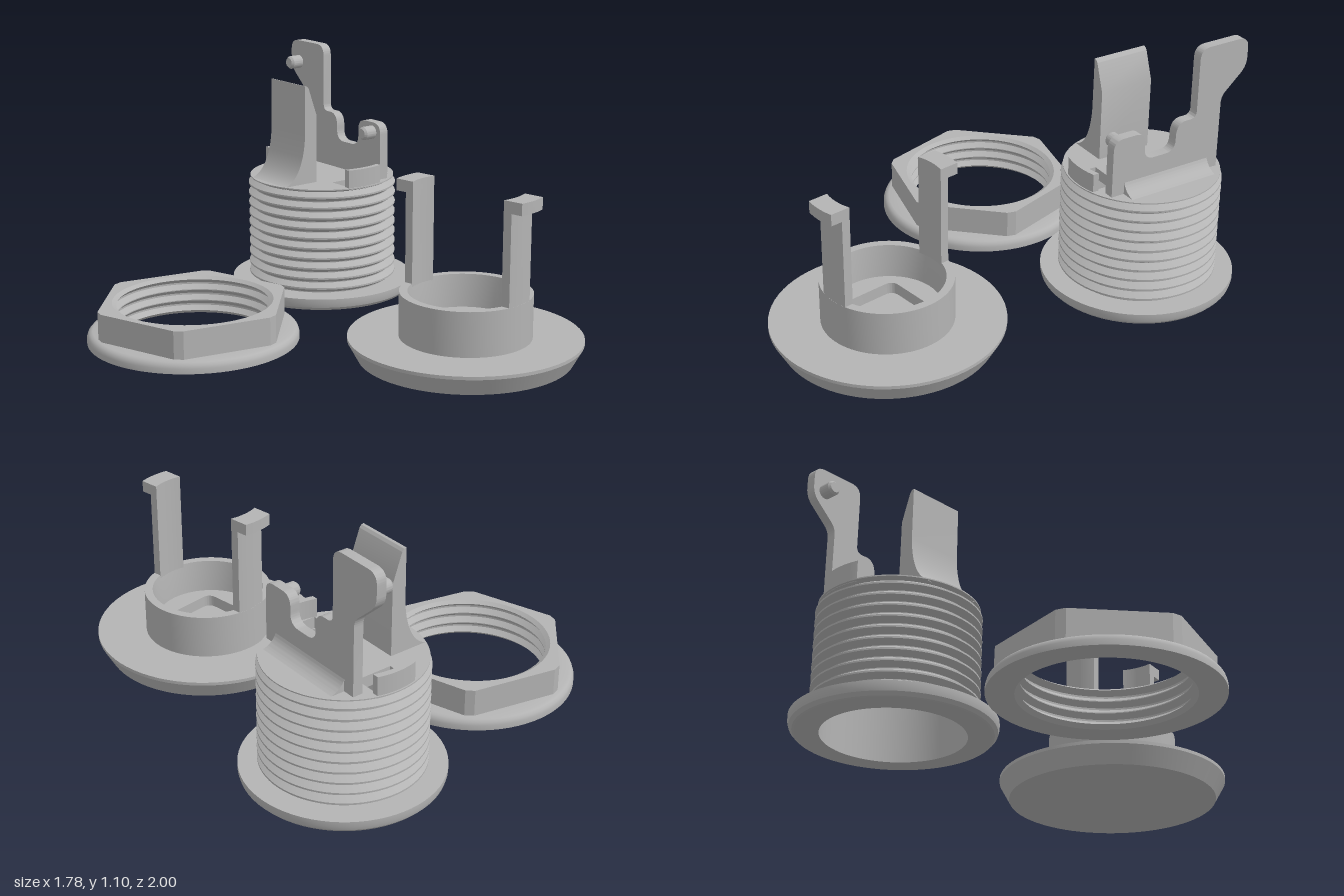
import * as THREE from 'three';
import { toCreasedNormals } from 'three/addons/utils/BufferGeometryUtils.js';

const grey = new THREE.MeshStandardMaterial({ color: 0xb3b3b3 });
grey.name = 'grey plastic';

function add(group, name, geometry) {
  const mesh = new THREE.Mesh(toCreasedNormals(geometry, 0.45), grey);
  mesh.name = name;
  group.add(mesh);
  return mesh;
}

const lathe = (profile) =>
  new THREE.LatheGeometry(profile.map(([r, y]) => new THREE.Vector2(r, y)), 72);

const extrude = (shape, depth) =>
  new THREE.ExtrudeGeometry(shape, { depth, bevelEnabled: false, curveSegments: 24 });

// Plan shape raised from y0 to y1
const raise = (shape, y0, y1) => extrude(shape, y1 - y0).rotateX(-Math.PI / 2).translate(0, y0, 0);

function circle(r, Kind = THREE.Shape) {
  const c = new Kind();
  c.absarc(0, 0, r, 0, Math.PI * 2, false);
  return c;
}

// Closed outline from corners [x, y, radius]
function rounded(corners, Kind = THREE.Shape) {
  const path = new Kind();
  const n = corners.length;
  corners.forEach(([x, y, r = 0], i) => {
    const p = new THREE.Vector2(x, y);
    const toward = (c) => {
      const d = new THREE.Vector2(c[0], c[1]).sub(p);
      return d.setLength(Math.min(r, d.length() / 2)).add(p);
    };
    const a = toward(corners[(i + n - 1) % n]);
    const b = toward(corners[(i + 1) % n]);
    if (i === 0) path.moveTo(a.x, a.y);
    else path.lineTo(a.x, a.y);
    if (r > 0) path.quadraticCurveTo(x, y, b.x, b.y);
  });
  path.closePath();
  return path;
}

// Slice of a ring wall, cut at x = +-half, on the -z side
function ringSlice(rIn, rOut, half, y0, y1) {
  const a = Math.acos(half / rOut), b = Math.acos(half / rIn);
  const s = new THREE.Shape();
  s.absarc(0, 0, rOut, a, Math.PI - a, false);
  s.absarc(0, 0, rIn, Math.PI - b, b, true);
  s.closePath();
  return raise(s, y0, y1);
}

// Zigzag thread profile, from y0 to y1
function thread(y0, y1, turns, root, crest) {
  const pts = [];
  const p = (y1 - y0) / turns;
  for (let i = 0; i < turns; i++) {
    const y = y0 + i * p;
    pts.push([root, y + 0.08 * p], [crest, y + 0.46 * p], [crest, y + 0.62 * p], [root, y + p]);
  }
  return pts;
}

function makeCap() {
  const cap = new THREE.Group();
  cap.name = 'cap';
  add(cap, 'capFlangeAndCollar', lathe([
    [0, 0], [0.445, 0], [0.487, 0.076], [0.487, 0.09], [0.275, 0.09], [0.275, 0.28],
    [0.24, 0.28], [0.222, 0.14], [0.222, 0.09], [0, 0.09],
  ]));
  // Floor with a rounded square recess
  const floor = circle(0.223);
  const h = 0.13;
  floor.holes.push(rounded([[-h, -h, 0.04], [-h, h, 0.04], [h, h, 0.04], [h, -h, 0.04]], THREE.Path));
  add(cap, 'capFloor', raise(floor, 0.085, 0.14));
  // Two snap arms with outward hooks
  for (const turn of [0, Math.PI]) {
    add(cap, 'snapArm', ringSlice(0.238, 0.274, 0.07, 0.2, 0.67)).rotation.y = turn;
    add(cap, 'snapHook', ringSlice(0.238, 0.322, 0.07, 0.665, 0.715)).rotation.y = turn;
  }
  cap.position.set(0.132, 0, 0.51);
  return cap;
}

function makeNut() {
  const nut = new THREE.Group();
  nut.name = 'nut';
  const bore = thread(0.012, 0.158, 3, 0.322, 0.344).reverse();
  add(nut, 'nutFlangeAndBore', lathe([
    [0.34, 0], [0.449, 0], [0.449, 0.022], [0.445, 0.035], [0.436, 0.045], [0.424, 0.05],
    [0.346, 0.05], [0.346, 0.17], [0.34, 0.17], ...bore, [0.34, 0],
  ]));
  // Hexagon with clipped corners
  const pts = [];
  for (let i = 0; i < 6; i++) {
    for (const d of [-27.2, 27.2]) {
      const a = THREE.MathUtils.degToRad(8 + 60 * i + d);
      pts.push(new THREE.Vector2(0.416 * Math.cos(a), 0.416 * Math.sin(a)));
    }
  }
  const hex = new THREE.Shape(pts);
  hex.holes.push(circle(0.345, THREE.Path));
  add(nut, 'nutHexagon', raise(hex, 0.04, 0.17));
  nut.position.set(-0.44, 0, -0.5);
  return nut;
}

function makeSocket() {
  const socket = new THREE.Group();
  socket.name = 'socket';
  add(socket, 'threadedBarrel', lathe([
    [0.29, 0], [0.375, 0], [0.395, 0.006], [0.408, 0.02], [0.413, 0.038], [0.413, 0.06], [0.308, 0.06],
    ...thread(0.06, 0.525, 10, 0.308, 0.336), [0.328, 0.535], [0.328, 0.54],
    [0.3, 0.54], [0.3, 0.49], [0.29, 0.49], [0.29, 0],
  ]));
  // Top disc with two slots
  const disc = circle(0.301);
  for (const s of [-1, 1]) {
    disc.holes.push(rounded([[-0.08, s * 0.178], [-0.08, s * 0.286], [0.08, s * 0.286], [0.08, s * 0.178]], THREE.Path));
  }
  add(socket, 'topDisc', raise(disc, 0.49, 0.54));
  for (const turn of [0, Math.PI]) {
    add(socket, 'slotLip', ringSlice(0.297, 0.322, 0.09, 0.53, 0.62)).rotation.y = turn;
  }

  // Tall stepped blade
  const blade = rounded([
    [-0.27, 0.53], [0.262, 0.53], [0.262, 0.86, 0.03], [0.384, 0.97, 0.04], [0.384, 1.1, 0.05],
    [0.14, 1.1, 0.05], [0.14, 0.795, 0.03], [0.04, 0.795, 0.07], [0.04, 0.67, 0.05],
    [-0.115, 0.67, 0.05], [-0.115, 0.795, 0.05], [-0.27, 0.795, 0.05],
  ]);
  add(socket, 'tallBlade', extrude(blade, 0.043).rotateY(Math.PI / 2).translate(0.122, 0, 0));
  const foot = new THREE.Shape();
  foot.moveTo(0.16, 0.535);
  foot.lineTo(0.25, 0.535);
  foot.quadraticCurveTo(0.17, 0.545, 0.16, 0.61);
  foot.closePath();
  add(socket, 'bladeFillet', extrude(foot, 0.42).translate(0, 0, -0.21));

  // Pins on the inner face of the blade
  for (const [y, z] of [[0.75, 0.213], [1.0, -0.325]]) {
    const pin = lathe([[0, 0], [0.03, 0], [0.03, 0.06], [0.022, 0.07], [0, 0.07]]);
    add(socket, 'pin', pin.rotateZ(Math.PI / 2).translate(0.13, y, z));
  }

  // Short blade with a swept back and slanted top
  const tab = new THREE.Shape();
  tab.moveTo(-0.3, 0.53);
  tab.lineTo(-0.128, 0.53);
  tab.lineTo(-0.128, 0.85);
  tab.lineTo(-0.168, 0.965);
  tab.quadraticCurveTo(-0.175, 0.983, -0.19, 0.983);
  tab.lineTo(-0.192, 0.76);
  tab.bezierCurveTo(-0.195, 0.66, -0.23, 0.56, -0.3, 0.54);
  tab.closePath();
  add(socket, 'shortBlade', extrude(tab, 0.25).translate(0, 0, -0.125));

  socket.rotation.y = -0.175;
  socket.position.set(0.475, 0, -0.587);
  return socket;
}

export function createModel() {
  const model = new THREE.Group();
  model.name = 'panelSocketKit';
  model.add(makeCap(), makeNut(), makeSocket());
  return model;
}
